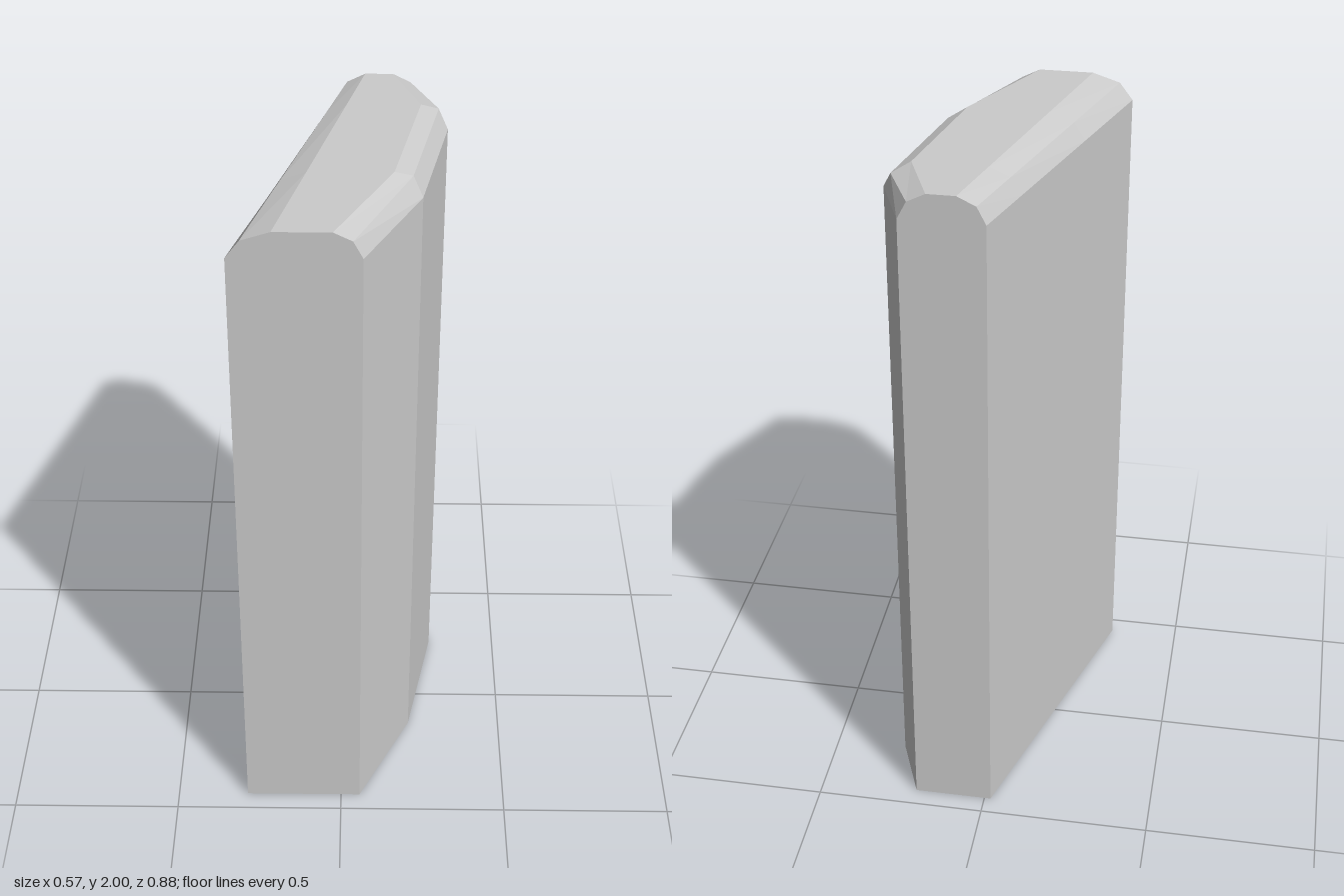
import * as THREE from 'three';

export function createModel() {
  const group = new THREE.Group();
  const material = new THREE.MeshStandardMaterial({ color: 0xcccccc, flatShading: true });

  // Cross-sections from front to back: z, right-hand wall x
  const stations = [[0.442, 0.057], [0.132, 0.211], [-0.252, 0.287], [-0.442, 0.211]];
  const front = stations[0][0], back = stations[3][0];

  // Straight wall on one side, faceted wall on the other, rounded shoulders on top
  const sections = stations.map(([z, x], k) => {
    const t = (front - z) / (front - back);
    const left = (a, b) => THREE.MathUtils.lerp(a, b, t);
    const midZ = k === 1 || k === 2 ? z - 0.026 : z;
    return [
      [left(-0.288, -0.019), 0, z],
      [left(-0.288, -0.019), 1.925, z],
      [left(-0.25, 0.006), 1.975, z],
      [left(-0.172, 0.057), 2, z],
      [x - 0.076, 2, z],
      [x - 0.026, 1.975, midZ],
      [x, 1.925, z],
      [x, 0, z],
    ];
  });

  const positions = [];
  const triangle = (a, b, c) => positions.push(...a, ...b, ...c);
  const n = sections[0].length;

  // Skin between neighbouring sections
  for (let k = 0; k < sections.length - 1; k++) {
    const s = sections[k], e = sections[k + 1];
    for (let j = 0; j < n; j++) {
      const i = (j + 1) % n;
      triangle(s[j], s[i], e[i]);
      triangle(s[j], e[i], e[j]);
    }
  }

  // Flat end caps
  const first = sections[0], last = sections[sections.length - 1];
  for (let j = 1; j < n - 1; j++) {
    triangle(first[0], first[j + 1], first[j]);
    triangle(last[0], last[j], last[j + 1]);
  }

  const geometry = new THREE.BufferGeometry();
  geometry.setAttribute('position', new THREE.Float32BufferAttribute(positions, 3));
  geometry.computeVertexNormals();

  const block = new THREE.Mesh(geometry, material);
  block.name = 'pillarBlock';
  group.add(block);
  return group;
}
